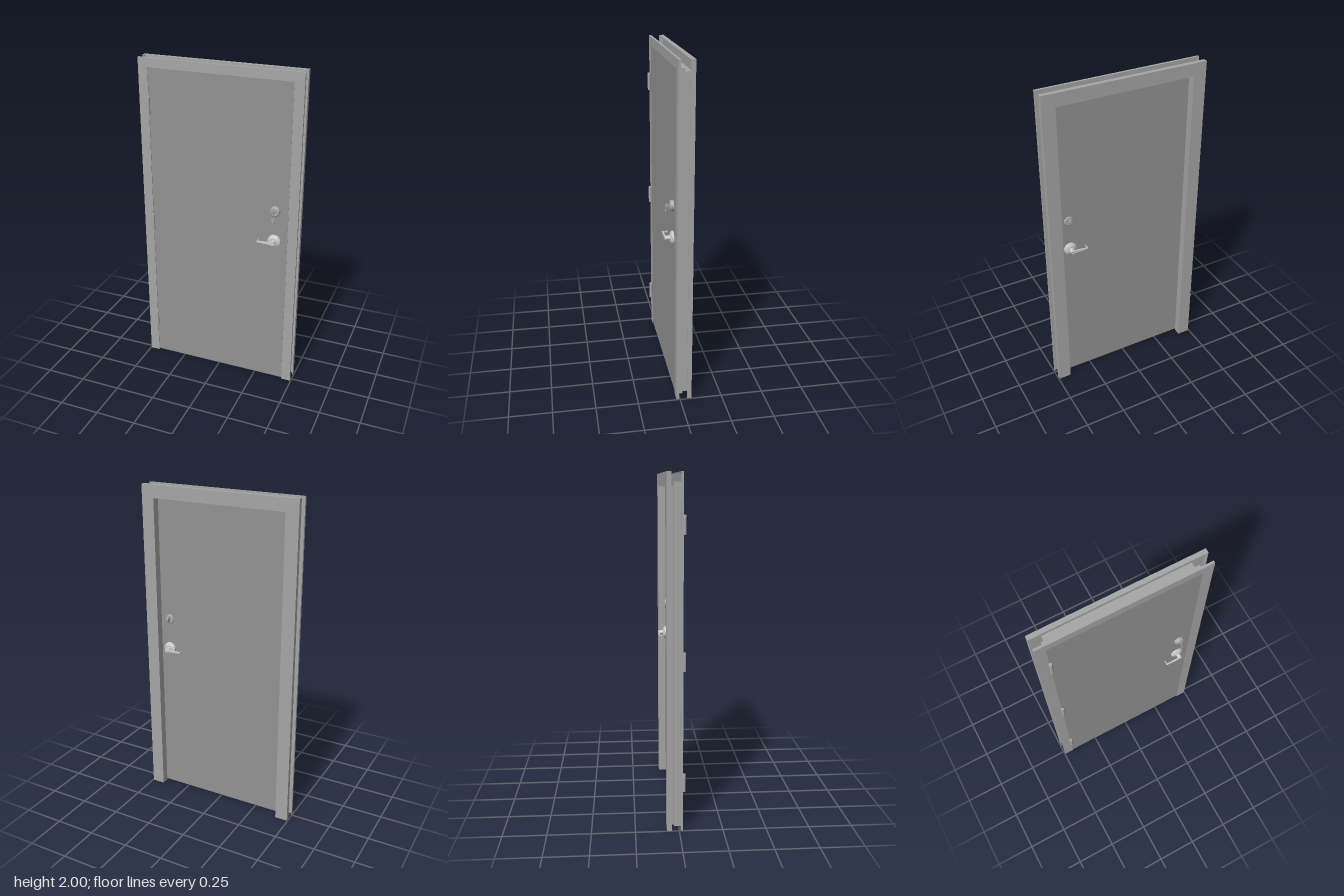
import * as THREE from 'three';

const paint = (color) => new THREE.MeshStandardMaterial({ color });
const framePaint = paint(0xa6a6a6);
const doorPaint = paint(0x939393);
const lockSteel = paint(0xa8a8a8);
const leverSteel = paint(0xcccccc);

function add(parent, name, material, geometry, x = 0, y = 0, z = 0) {
  const mesh = new THREE.Mesh(geometry, material);
  mesh.name = name;
  mesh.position.set(x, y, z);
  parent.add(mesh);
  return mesh;
}

// Upside-down U (two jambs and a head) extruded from z0 to z1
function portal(parent, name, outerX, outerY, innerX, innerY, z0, z1) {
  const shape = new THREE.Shape([
    [-outerX, 0], [-innerX, 0], [-innerX, innerY], [innerX, innerY],
    [innerX, 0], [outerX, 0], [outerX, outerY], [-outerX, outerY],
  ].map(([x, y]) => new THREE.Vector2(x, y)));
  const geometry = new THREE.ExtrudeGeometry(shape, { depth: z1 - z0, bevelEnabled: false });
  return add(parent, name, framePaint, geometry, 0, 0, z0);
}

// Stepped disc turned about z; profile is [radius, z] pairs, corners kept sharp
function turned(parent, name, material, profile, x = 0, y = 0) {
  const group = new THREE.Group();
  group.name = name;
  group.position.set(x, y, 0);
  for (let i = 1; i < profile.length; i++) {
    const pair = [profile[i - 1], profile[i]].map(([r, z]) => new THREE.Vector2(r, z));
    add(group, name + 'Face', material, new THREE.LatheGeometry(pair, 40).rotateX(Math.PI / 2));
  }
  parent.add(group);
}

// Lever handle standing on the plane z = 0 and pointing to -x
function makeLever(name) {
  const lever = new THREE.Group();
  lever.name = name;
  turned(lever, 'rose', leverSteel, [[0.039, 0], [0.039, 0.01], [0.022, 0.019], [0, 0.019]]);
  turned(lever, 'spindle', leverSteel, [[0.014, 0.018], [0.013, 0.048], [0, 0.048]]);
  const arm = new THREE.Shape();
  arm.moveTo(-0.095, -0.004);
  arm.lineTo(-0.02, -0.008);
  arm.quadraticCurveTo(0.013, -0.012, 0.013, 0);
  arm.quadraticCurveTo(0.013, 0.012, -0.02, 0.008);
  arm.lineTo(-0.095, 0.004);
  add(lever, 'arm', leverSteel, new THREE.ExtrudeGeometry(arm, { depth: 0.008, bevelEnabled: false, curveSegments: 10 }), 0, 0, 0.042);
  add(lever, 'armReturn', leverSteel, new THREE.BoxGeometry(0.004, 0.008, 0.027), -0.093, 0, 0.0305);
  return lever;
}

// Flat key: round bow with a hole, blade pointing down
function makeKey(name) {
  const shape = new THREE.Shape();
  shape.absarc(0, 0, 0.0115, -1.25, Math.PI + 1.25, false);
  shape.lineTo(-0.0036, -0.036);
  shape.lineTo(0, -0.041);
  shape.lineTo(0.0036, -0.036);
  const hole = new THREE.Path();
  hole.absarc(0, 0.005, 0.003, 0, Math.PI * 2, true);
  shape.holes.push(hole);
  const key = new THREE.Group();
  key.name = name;
  add(key, name + 'Plate', lockSteel, new THREE.ExtrudeGeometry(shape, { depth: 0.002, bevelEnabled: false }), 0, 0, -0.001);
  return key;
}

export function createModel() {
  const model = new THREE.Group();
  model.name = 'doorAndFrame';
  const front = 0.019, back = -0.023;
  const latchX = 0.356, leverY = 0.985, boltY = 1.178;

  // Folded sheet-metal frame: faces with return lips, rabbet and stop
  const frame = new THREE.Group();
  frame.name = 'frame';
  model.add(frame);
  portal(frame, 'frontFace', 0.495, 2, 0.436, 1.945, 0.017, 0.021);
  portal(frame, 'frontLip', 0.495, 2, 0.491, 1.996, 0.007, 0.017);
  portal(frame, 'rabbet', 0.44, 1.948, 0.436, 1.945, -0.023, 0.017);
  portal(frame, 'stopStep', 0.44, 1.948, 0.416, 1.923, -0.027, -0.023);
  portal(frame, 'stop', 0.42, 1.927, 0.416, 1.923, -0.066, -0.027);
  portal(frame, 'backFace', 0.495, 2, 0.416, 1.923, -0.07, -0.066);
  portal(frame, 'backLip', 0.495, 2, 0.491, 1.996, -0.066, -0.043);

  // Door leaf
  add(model, 'doorLeaf', doorPaint, new THREE.BoxGeometry(0.87, 1.932, front - back), 0, 0.012 + 0.966, (front + back) / 2);

  // Hinges: knuckles with a capped pin
  for (const y of [0.264, 0.974, 1.724]) {
    const hinge = new THREE.Group();
    hinge.name = 'hinge';
    hinge.position.set(-0.434, y, 0.031);
    model.add(hinge);
    add(hinge, 'knuckle', framePaint, new THREE.CylinderGeometry(0.01, 0.01, 0.094, 24), 0, -0.006, 0);
    add(hinge, 'pinCap', framePaint, new THREE.CylinderGeometry(0.009, 0.0105, 0.013, 24), 0, 0.0475, 0);
    add(hinge, 'hingeLeaf', framePaint, new THREE.BoxGeometry(0.004, 0.1, 0.024), 0, -0.003, -0.012);
  }

  // Levers on both sides; the back one is turned about x
  const frontLever = makeLever('frontLever');
  frontLever.position.set(latchX, leverY, front);
  const backLever = makeLever('backLever');
  backLever.position.set(latchX, leverY, back - 0.002);
  backLever.rotation.x = Math.PI;
  model.add(frontLever, backLever);

  // Lock cylinder with keys at the front
  turned(model, 'lockCylinder', lockSteel, [[0.031, front], [0.029, 0.035], [0.024, 0.04], [0.018, 0.04], [0.017, 0.037], [0, 0.037]], latchX, boltY);
  turned(model, 'lockPlug', lockSteel, [[0.011, 0.037], [0.011, 0.041], [0, 0.041]], latchX, boltY);
  const insertedKey = makeKey('insertedKey');
  insertedKey.position.set(latchX, boltY, 0.056);
  insertedKey.rotation.set(Math.PI / 2, Math.PI / 2, 0);
  const hangingKey = makeKey('hangingKey');
  hangingKey.position.set(latchX, boltY - 0.031, 0.064);
  model.add(insertedKey, hangingKey);
  const ring = add(model, 'keyRing', lockSteel, new THREE.TorusGeometry(0.01, 0.001, 8, 28), latchX, boltY - 0.014, 0.06);
  ring.rotation.y = Math.PI / 2;

  // Thumb turn at the back
  const thumb = new THREE.Group();
  thumb.name = 'thumbTurn';
  thumb.position.set(latchX, boltY, back);
  thumb.rotation.x = Math.PI;
  model.add(thumb);
  turned(thumb, 'thumbRose', lockSteel, [[0.029, 0], [0.028, 0.005], [0.024, 0.008], [0, 0.008]]);
  add(thumb, 'thumbPiece', lockSteel, new THREE.CylinderGeometry(0.016, 0.016, 0.006, 24).rotateZ(Math.PI / 2).scale(1, 1.2, 0.9), 0, 0, 0.012);

  // Strike lip at the latch
  add(model, 'strikeLip', lockSteel, new THREE.BoxGeometry(0.003, 0.066, 0.012), 0.4378, 0.988, 0.0165);

  return model;
}
